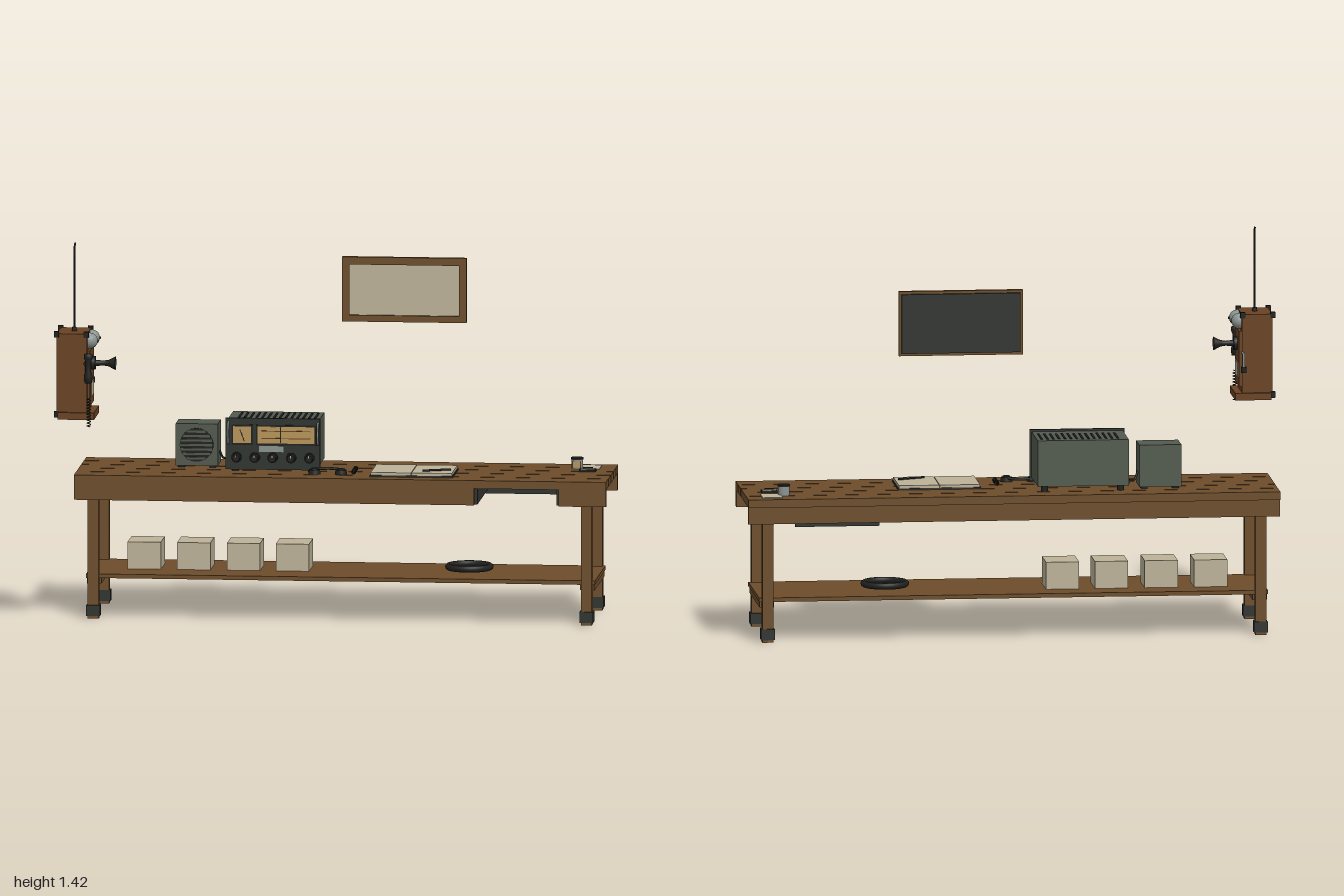
import * as THREE from 'three';

const mat = (name, color, side = THREE.FrontSide) => {
  const m = new THREE.MeshStandardMaterial({ color, side });
  m.name = name;
  return m;
};

export function createModel() {
  const wood = mat('benchWood', 0x6d4d2b);
  const walnut = mat('walnut', 0x6a4222);
  const cream = mat('paper', 0xbcb298);
  const green = mat('greyGreenMetal', 0x525a4e);
  const dark = mat('darkMetal', 0x30342f);
  const black = mat('black', 0x20211f);
  const gold = mat('brassDial', 0xb8955a);
  const steel = mat('steel', 0x8b9490);

  const root = new THREE.Group();
  root.name = 'radioBench';
  const group = (name) => {
    const g = new THREE.Group();
    g.name = name;
    root.add(g);
    return g;
  };
  const add = (g, name, geo, m, x = 0, y = 0, z = 0) => {
    const mesh = new THREE.Mesh(geo, m);
    mesh.name = name;
    mesh.position.set(x, y, z);
    g.add(mesh);
    return mesh;
  };
  // Box given by its limits on each axis
  const box = (g, name, m, x0, x1, y0, y1, z0, z1) =>
    add(g, name, new THREE.BoxGeometry(x1 - x0, y1 - y0, z1 - z0), m, (x0 + x1) / 2, (y0 + y1) / 2, (z0 + z1) / 2);
  // Cylinder with its axis along x, y or z
  const cyl = (g, name, m, r0, r1, len, axis, x, y, z, seg = 24) => {
    const geo = new THREE.CylinderGeometry(r0, r1, len, seg);
    if (axis === 'x') geo.rotateZ(-Math.PI / 2);
    if (axis === 'z') geo.rotateX(Math.PI / 2);
    return add(g, name, geo, m, x, y, z);
  };
  const tube = (g, name, m, pts, r, seg = 24, tension = 0.5) => {
    const curve = new THREE.CatmullRomCurve3(pts.map((p) => new THREE.Vector3(...p)), false, 'catmullrom', tension);
    return add(g, name, new THREE.TubeGeometry(curve, seg, r, 8), m);
  };
  const coil = (axisPoint, turns, radius) => Array.from({ length: turns * 8 + 1 }, (_, i) => {
    const [x, y, z, u, v] = axisPoint(i / (turns * 8));
    const a = (i * Math.PI) / 4;
    return [x + radius * Math.cos(a), y + u * radius * Math.sin(a), z + v * radius * Math.sin(a)];
  });

  // Workbench: five planks with open gaps
  const bench = group('workbench');
  for (let i = 0; i < 5; i++) {
    const z = -0.399 + i * 0.093;
    box(bench, 'topPlank', wood, -0.957, 1, 0.502, 0.532, z, z + 0.088);
  }
  // Aprons, the front one broken by the drawer opening
  box(bench, 'backApron', wood, -0.957, 1, 0.44, 0.502, -0.391, -0.37);
  box(bench, 'frontApron', wood, -0.957, 0.515, 0.44, 0.502, 0.037, 0.058);
  box(bench, 'frontApron', wood, 0.825, 1, 0.44, 0.502, 0.037, 0.058);
  for (const x of [-0.887, 0.927]) {
    box(bench, 'sideApron', wood, x - 0.015, x + 0.015, 0.44, 0.502, -0.37, 0.037);
    box(bench, 'shelfRail', wood, x - 0.027, x + 0.027, 0.125, 0.15, -0.345, 0.012);
    for (const z of [0.03, -0.361]) {
      box(bench, 'leg', wood, x - 0.02, x + 0.02, 0, 0.502, z - 0.02, z + 0.02);
      box(bench, 'footCap', dark, x - 0.025, x + 0.025, 0.01, 0.05, z - 0.025, z + 0.025);
    }
  }
  box(bench, 'lowerShelf', wood, -0.915, 0.957, 0.148, 0.163, -0.363, 0.032);
  // Open drawer bay
  box(bench, 'drawerBack', dark, 0.515, 0.825, 0.425, 0.502, -0.369, -0.357);
  for (const x of [0.515, 0.815]) box(bench, 'drawerRunner', dark, x, x + 0.01, 0.44, 0.502, -0.357, 0.035);

  // Storage on the shelf
  const storage = group('shelfStorage');
  for (const x of [-0.715, -0.533, -0.35, -0.17]) {
    box(storage, 'carton', cream, x - 0.061, x + 0.061, 0.163, 0.263, -0.26, -0.11);
  }
  const ring = add(storage, 'cableCoil', new THREE.TorusGeometry(0.077, 0.012, 10, 40), black, 0.475, 0.181, -0.17);
  ring.rotation.x = Math.PI / 2;

  // Receiver
  const radio = group('receiver');
  box(radio, 'cabinet', green, -0.408, -0.073, 0.552, 0.722, -0.317, -0.095);
  box(radio, 'frontPanel', dark, -0.414, -0.066, 0.54, 0.73, -0.096, -0.086);
  for (const x of [-0.38, -0.1]) for (const z of [-0.29, -0.12]) cyl(radio, 'foot', black, 0.013, 0.013, 0.022, 'y', x, 0.542, z, 12);
  for (let i = 0; i < 14; i++) {
    const x = -0.375 + i * 0.0215;
    box(radio, 'ventSlot', black, x, x + 0.008, 0.721, 0.724, -0.285, -0.155);
  }
  box(radio, 'meterBezel', black, -0.392, -0.313, 0.631, 0.706, -0.087, -0.083);
  box(radio, 'meterFace', gold, -0.385, -0.32, 0.638, 0.7, -0.084, -0.081);
  const needle = box(radio, 'meterNeedle', black, -0.3535, -0.3505, 0.643, 0.69, -0.082, -0.079);
  needle.rotation.z = 0.35;
  box(radio, 'dialBezel', black, -0.302, -0.078, 0.631, 0.706, -0.087, -0.083);
  box(radio, 'dialFace', gold, -0.295, -0.085, 0.638, 0.7, -0.084, -0.081);
  for (const y of [0.655, 0.682]) box(radio, 'dialScale', walnut, -0.28, -0.1, y, y + 0.003, -0.082, -0.079);
  box(radio, 'dialPointer', black, -0.212, -0.209, 0.641, 0.697, -0.082, -0.078);
  box(radio, 'labelPlate', steel, -0.29, -0.2, 0.606, 0.628, -0.087, -0.083);
  for (const x of [-0.373, -0.306, -0.24, -0.172, -0.105]) {
    cyl(radio, 'knobSkirt', black, 0.019, 0.019, 0.008, 'z', x, 0.585, -0.082);
    cyl(radio, 'knob', black, 0.013, 0.015, 0.024, 'z', x, 0.585, -0.068);
    box(radio, 'knobMark', cream, x - 0.0015, x + 0.0015, 0.588, 0.597, -0.057, -0.055);
  }
  for (const x of [-0.403, -0.073]) {
    tube(radio, 'handle', steel, [[x, 0.715, -0.088], [x, 0.705, -0.07], [x, 0.645, -0.07], [x, 0.635, -0.088]], 0.004);
  }

  // Loudspeaker with a slatted round grille
  const speaker = group('loudspeaker');
  box(speaker, 'speakerCabinet', green, -0.605, -0.45, 0.54, 0.695, -0.282, -0.166);
  for (const x of [-0.585, -0.47]) box(speaker, 'foot', black, x - 0.012, x + 0.012, 0.53, 0.541, -0.27, -0.178);
  cyl(speaker, 'grilleCloth', black, 0.062, 0.062, 0.004, 'z', -0.528, 0.617, -0.165, 40);
  for (let i = -3; i <= 3; i++) {
    const half = Math.sqrt(0.06 ** 2 - (i * 0.0165) ** 2);
    box(speaker, 'grilleSlat', green, -0.528 - half, -0.528 + half, 0.613 + i * 0.0165, 0.621 + i * 0.0165, -0.164, -0.16);
  }
  tube(speaker, 'speakerCable', black, [[-0.45, 0.59, -0.225], [-0.435, 0.56, -0.24], [-0.408, 0.565, -0.275]], 0.004);

  // Headset lying on the bench
  const headset = group('headset');
  for (const [x, z] of [[-0.083, -0.053], [0.015, -0.047]]) {
    cyl(headset, 'earCup', black, 0.02, 0.023, 0.016, 'y', x, 0.541, z);
    cyl(headset, 'earPad', dark, 0.014, 0.014, 0.005, 'y', x, 0.551, z);
  }
  tube(headset, 'headband', dark, [[-0.083, 0.548, -0.06], [-0.065, 0.547, -0.087], [-0.03, 0.547, -0.095], [0.0, 0.547, -0.082], [0.015, 0.548, -0.055]], 0.005);
  tube(headset, 'headsetCord', black, coil((t) => [0.06, 0.541, -0.15 + t * 0.095, 1, 0], 9, 0.007), 0.0022, 160);

  // Open log book and pencil
  const book = group('logBook');
  box(book, 'cover', dark, 0.125, 0.431, 0.532, 0.538, -0.217, 0.003);
  for (const x of [0.129, 0.279]) box(book, 'pages', cream, x, x + 0.148, 0.538, 0.548, -0.213, -0.001);
  const pencil = cyl(book, 'pencil', black, 0.004, 0.004, 0.108, 'x', 0.366, 0.552, -0.06, 6);
  pencil.rotation.y = 0.4;

  // Desk items at the end of the bench
  const desk = group('deskItems');
  box(desk, 'notePaper', cream, 0.87, 0.944, 0.532, 0.535, -0.367, -0.265);
  cyl(desk, 'inkJar', steel, 0.021, 0.021, 0.034, 'y', 0.859, 0.549, -0.293);
  box(desk, 'jarLabel', gold, 0.844, 0.874, 0.537, 0.56, -0.276, -0.271);
  cyl(desk, 'jarLid', black, 0.023, 0.023, 0.007, 'y', 0.859, 0.569, -0.293);
  box(desk, 'keyBase', black, 0.876, 0.936, 0.532, 0.54, -0.238, -0.202);
  box(desk, 'keyPlate', cream, 0.88, 0.932, 0.54, 0.543, -0.234, -0.206);
  box(desk, 'keyLever', black, 0.888, 0.924, 0.543, 0.547, -0.223, -0.217);

  // Framed notice
  const frame = group('framedNotice');
  box(frame, 'frameTop', wood, -0.012, 0.445, 1.264, 1.292, -0.379, -0.36);
  box(frame, 'frameBottom', wood, -0.012, 0.445, 1.053, 1.077, -0.379, -0.36);
  for (const x of [-0.012, 0.418]) box(frame, 'frameSide', wood, x, x + 0.027, 1.077, 1.264, -0.379, -0.36);
  box(frame, 'noticeSheet', cream, 0.015, 0.418, 1.077, 1.264, -0.379, -0.37);
  box(frame, 'backBoard', dark, -0.002, 0.435, 1.063, 1.282, -0.39, -0.379);

  // Wall telephone facing +x
  const phone = group('wallTelephone');
  box(phone, 'phoneCase', walnut, -0.99, -0.878, 0.808, 1.098, 0.2, 0.368);
  box(phone, 'doorPanel', walnut, -0.878, -0.868, 0.83, 1.035, 0.21, 0.358);
  box(phone, 'phoneLedge', walnut, -0.985, -0.852, 0.782, 0.808, 0.188, 0.38);
  for (const z of [0.203, 0.365]) {
    for (const y of [0.8, 1.095]) box(phone, 'mountingClip', black, -1, -0.982, y - 0.011, y + 0.011, z - 0.008, z + 0.008);
    box(phone, 'cornerClip', black, -0.89, -0.872, 1.085, 1.106, z - 0.007, z + 0.007);
  }
  for (const z of [0.325, 0.246]) {
    const bell = add(phone, 'bell', new THREE.SphereGeometry(0.029, 28, 10, 0, Math.PI * 2, 0, Math.PI / 2), steel, -0.872, 1.068, z);
    bell.rotation.z = -Math.PI / 2;
    cyl(phone, 'bellPost', black, 0.005, 0.005, 0.04, 'x', -0.86, 1.068, z, 12);
    cyl(phone, 'bellBack', steel, 0.029, 0.029, 0.006, 'x', -0.875, 1.068, z, 28);
  }
  box(phone, 'bellClapper', gold, -0.878, -0.868, 1.075, 1.085, 0.27, 0.3);
  tube(phone, 'clapperRod', black, [[-0.866, 1.08, 0.285], [-0.864, 1.04, 0.285]], 0.003, 4);
  // Horn mouthpiece
  cyl(phone, 'mouthpieceBase', black, 0.025, 0.025, 0.014, 'x', -0.862, 0.98, 0.285);
  const horn = [[0.012, 0], [0.009, 0.03], [0.012, 0.05], [0.025, 0.076], [0.021, 0.076], [0.006, 0.05]];
  const hornMat = mat('hornBlack', 0x20211f, THREE.DoubleSide);
  const mouth = add(phone, 'mouthpiece', new THREE.LatheGeometry(horn.map((p) => new THREE.Vector2(...p)), 24), hornMat, -0.857, 0.98, 0.285);
  mouth.rotation.z = -Math.PI / 2;
  box(phone, 'instructionCard', cream, -0.869, -0.865, 0.861, 0.914, 0.239, 0.331);
  // Receiver on its hook, with a curly cord
  const ear = [[0, 0.92], [0.014, 0.92], [0.016, 0.945], [0.011, 0.96], [0.011, 1.0], [0.016, 1.012], [0.016, 1.025], [0, 1.03]];
  add(phone, 'earpiece', new THREE.LatheGeometry(ear.map((p) => new THREE.Vector2(...p)), 20), black, -0.872, 0, 0.385);
  cyl(phone, 'receiverHook', black, 0.005, 0.005, 0.035, 'z', -0.885, 0.99, 0.37, 10);
  tube(phone, 'phoneCord', black, coil((t) => [-0.87, 0.865 - t * 0.11, 0.384, 0, 1], 10, 0.006), 0.002, 160);
  // Crank
  tube(phone, 'crank', steel, [[-0.88, 0.957, 0.2], [-0.88, 0.957, 0.163], [-0.88, 0.95, 0.158], [-0.88, 0.9, 0.158]], 0.005);
  cyl(phone, 'crankGrip', black, 0.01, 0.01, 0.022, 'y', -0.88, 0.9, 0.158, 16);
  // Wire rising from the case
  cyl(phone, 'wireSocket', black, 0.008, 0.01, 0.016, 'y', -0.933, 1.104, 0.285, 12);
  tube(phone, 'lineWire', black, [[-0.933, 1.1, 0.285], [-0.933, 1.38, 0.285], [-0.933, 1.405, 0.283], [-0.933, 1.417, 0.252]], 0.0035, 32, 0.1);

  return root;
}
